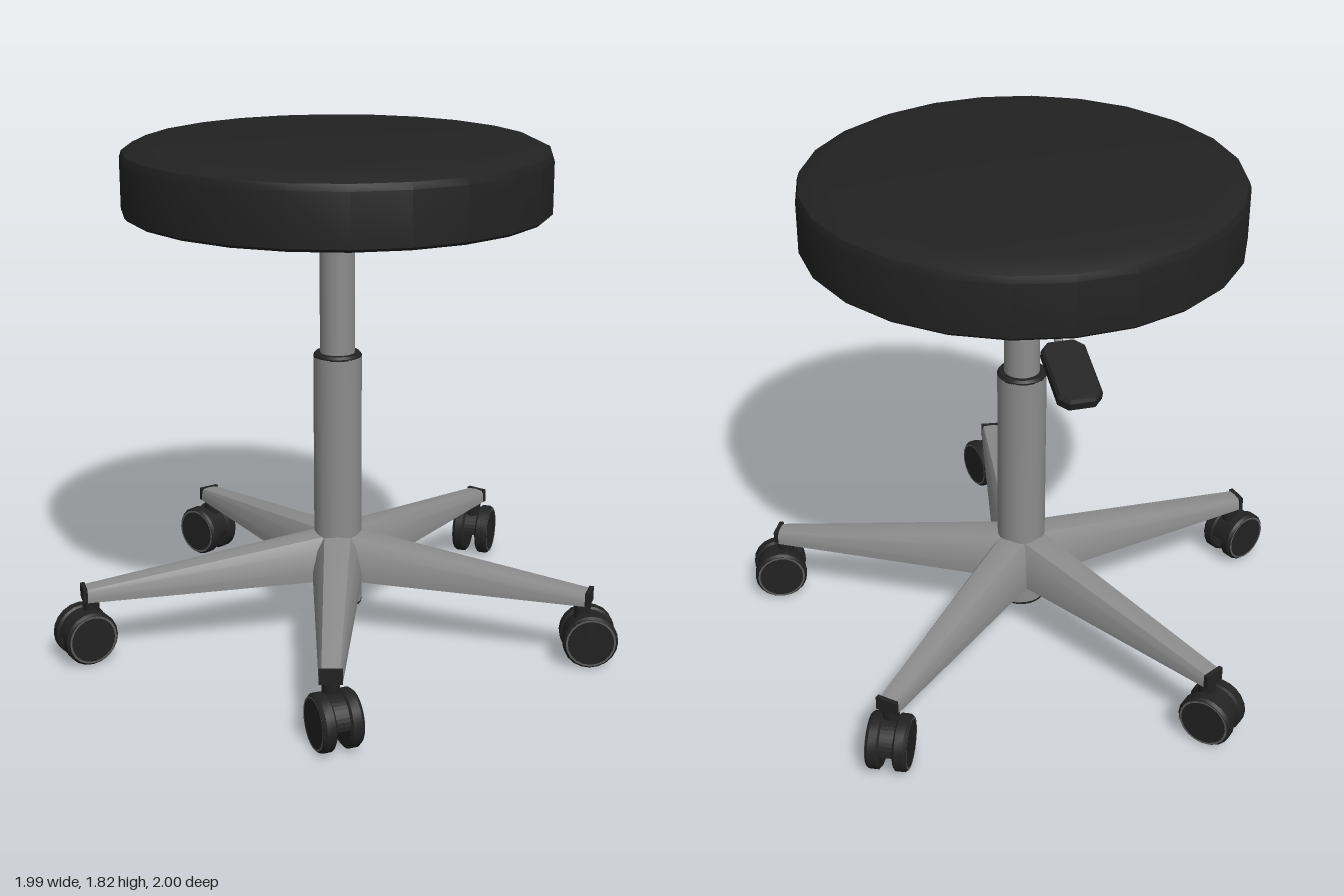
import * as THREE from 'three';
import { toCreasedNormals } from 'three/addons/utils/BufferGeometryUtils.js';

export function createModel() {
  const mat = (name, color, side = THREE.FrontSide) => {
    const m = new THREE.MeshStandardMaterial({ color, side });
    m.name = name;
    return m;
  };
  const black = mat('black vinyl and plastic', 0x222222);
  const metal = mat('grey metal', 0x8c8c8c);
  const rimGrey = mat('dark grey rim', 0x5c5c5c, THREE.DoubleSide);

  const model = new THREE.Group();
  model.name = 'stool';
  const stool = new THREE.Group();
  stool.name = 'stoolBody';
  stool.position.set(-0.055, 0, -0.042);
  model.add(stool);

  const add = (parent, name, geo, material, x = 0, y = 0, z = 0) => {
    const mesh = new THREE.Mesh(geo, material);
    mesh.name = name;
    mesh.position.set(x, y, z);
    parent.add(mesh);
    return mesh;
  };
  const lathe = (pts, sides, crease = 0.4) =>
    toCreasedNormals(new THREE.LatheGeometry(pts.map(p => new THREE.Vector2(...p)), sides), crease);

  // Padded round seat
  add(stool, 'seat', lathe([[0, 1.58], [0.74, 1.58], [0.75, 1.59], [0.75, 1.77],
    [0.742, 1.793], [0.69, 1.818], [0.66, 1.824], [0, 1.824]], 24), black);

  // Gas lift column with dark collar and end cap
  add(stool, 'piston', new THREE.CylinderGeometry(0.063, 0.063, 0.54, 24), metal, 0, 1.315, 0);
  add(stool, 'columnTube', new THREE.CylinderGeometry(0.087, 0.087, 0.94, 24, 1, true), metal, 0, 0.582, 0);
  add(stool, 'columnCollar', lathe([[0.087, 1.05], [0.087, 1.056], [0.08, 1.065], [0.06, 1.065]], 24), black);
  add(stool, 'columnEndCap', lathe([[0, 0.1], [0.08, 0.1], [0.087, 0.106], [0.087, 0.114]], 24), black);

  // Leg lofted from a wide root to a small square tip
  const legGeometry = () => {
    const section = (x, w, top, topW) => {
      const h = w / 2, t = topW / 2, y0 = 0.225, dy = top - y0;
      return [[-h, y0], [-h, y0 + dy * 0.25], [-(h + t) / 2 * 1.05, y0 + dy * 0.7], [-t, top - dy * 0.06], [0, top],
        [t, top - dy * 0.06], [(h + t) / 2 * 1.05, y0 + dy * 0.7], [h, y0 + dy * 0.25], [h, y0]].map(([z, y]) => [x, y, z]);
    };
    const loops = [section(0, 0.2, 0.395, 0.1), section(0.09, 0.18, 0.388, 0.095), section(0.94, 0.077, 0.274, 0.06)];
    const n = loops[0].length, index = [];
    for (let s = 0; s < loops.length - 1; s++) {
      for (let i = 0; i < n; i++) {
        const j = (i + 1) % n, a = s * n + i, b = s * n + j;
        index.push(a, b, b + n, a, b + n, a + n);
      }
    }
    const g = new THREE.BufferGeometry();
    g.setAttribute('position', new THREE.Float32BufferAttribute(loops.flat(2), 3));
    g.setIndex(index);
    return toCreasedNormals(g, 0.75);
  };
  const legGeo = legGeometry();

  // Twin wheel caster, rolling along local x with its axle along z
  const wheelGeo = lathe([[0, -0.024], [0.088, -0.024], [0.098, -0.016], [0.098, 0.014],
    [0.09, 0.024], [0, 0.024]], 20);
  const rimGeo = new THREE.RingGeometry(0.082, 0.089, 20);
  const hoodShape = new THREE.Shape();
  hoodShape.absarc(0, 0, 0.088, 0, Math.PI, false);
  const hoodGeo = new THREE.ExtrudeGeometry(hoodShape, { depth: 0.05, bevelEnabled: false, curveSegments: 10 });
  hoodGeo.translate(0, 0, -0.025);
  const makeCaster = () => {
    const g = new THREE.Group();
    g.name = 'caster';
    add(g, 'casterStem', new THREE.CylinderGeometry(0.03, 0.03, 0.07, 12), black, 0, 0.2, 0);
    add(g, 'casterHood', hoodGeo, black, 0.025, 0.1, 0);
    for (const side of [1, -1]) {
      const wheel = add(g, 'wheel', wheelGeo, black, 0.025, 0.098, side * 0.046);
      wheel.rotation.x = side * Math.PI / 2;
      add(g, 'wheelRim', rimGeo, rimGrey, 0.025, 0.098, side * 0.0712);
    }
    const axle = add(g, 'axle', new THREE.CylinderGeometry(0.018, 0.018, 0.06, 10), black, 0.025, 0.098, 0);
    axle.rotation.x = Math.PI / 2;
    return g;
  };

  // Five star legs, each caster swivelled its own way
  const rad = THREE.MathUtils.degToRad;
  [-12, 56, 137, 208, 276].forEach((swivel, i) => {
    const angle = rad(7.5 + i * 72);
    const leg = new THREE.Group();
    leg.name = 'legGroup';
    leg.rotation.y = -angle;
    stool.add(leg);
    add(leg, 'leg', legGeo, metal);
    add(leg, 'legTipCap', new THREE.BoxGeometry(0.016, 0.05, 0.078), black, 0.943, 0.25, 0);
    const caster = makeCaster();
    caster.position.set(Math.cos(angle) * 0.92, 0, Math.sin(angle) * 0.92);
    caster.rotation.y = -rad(swivel);
    stool.add(caster);
  });

  // Height lever, built along local -z
  const lever = new THREE.Group();
  lever.name = 'heightLever';
  lever.rotation.y = Math.atan(0.33);
  stool.add(lever);
  const rod = new THREE.CurvePath();
  const stops = [[1.6, -0.07], [1.505, -0.155], [1.385, -0.49]].map(([y, z]) => new THREE.Vector3(0, y, z));
  rod.add(new THREE.LineCurve3(stops[0], stops[1]));
  rod.add(new THREE.LineCurve3(stops[1], stops[2]));
  add(lever, 'leverRod', new THREE.TubeGeometry(rod, 24, 0.015, 8), metal);

  // Paddle grip with clipped corners
  const w = 0.073, l = 0.132, c = 0.03;
  const paddle = new THREE.Shape([[-w + c, -l], [w - c, -l], [w, -l + c], [w, l - c],
    [w - c, l], [-w + c, l], [-w, l - c], [-w, -l + c]].map(p => new THREE.Vector2(...p)));
  const paddleGeo = new THREE.ExtrudeGeometry(paddle, {
    depth: 0.028, bevelEnabled: true, bevelThickness: 0.01, bevelSize: 0.008, bevelOffset: -0.008, bevelSegments: 1 });
  paddleGeo.translate(0, 0, -0.014);
  const grip = add(lever, 'leverGrip', paddleGeo, black, 0, 1.357, -0.57);
  grip.rotation.x = -Math.PI / 2 - rad(19);

  return model;
}
